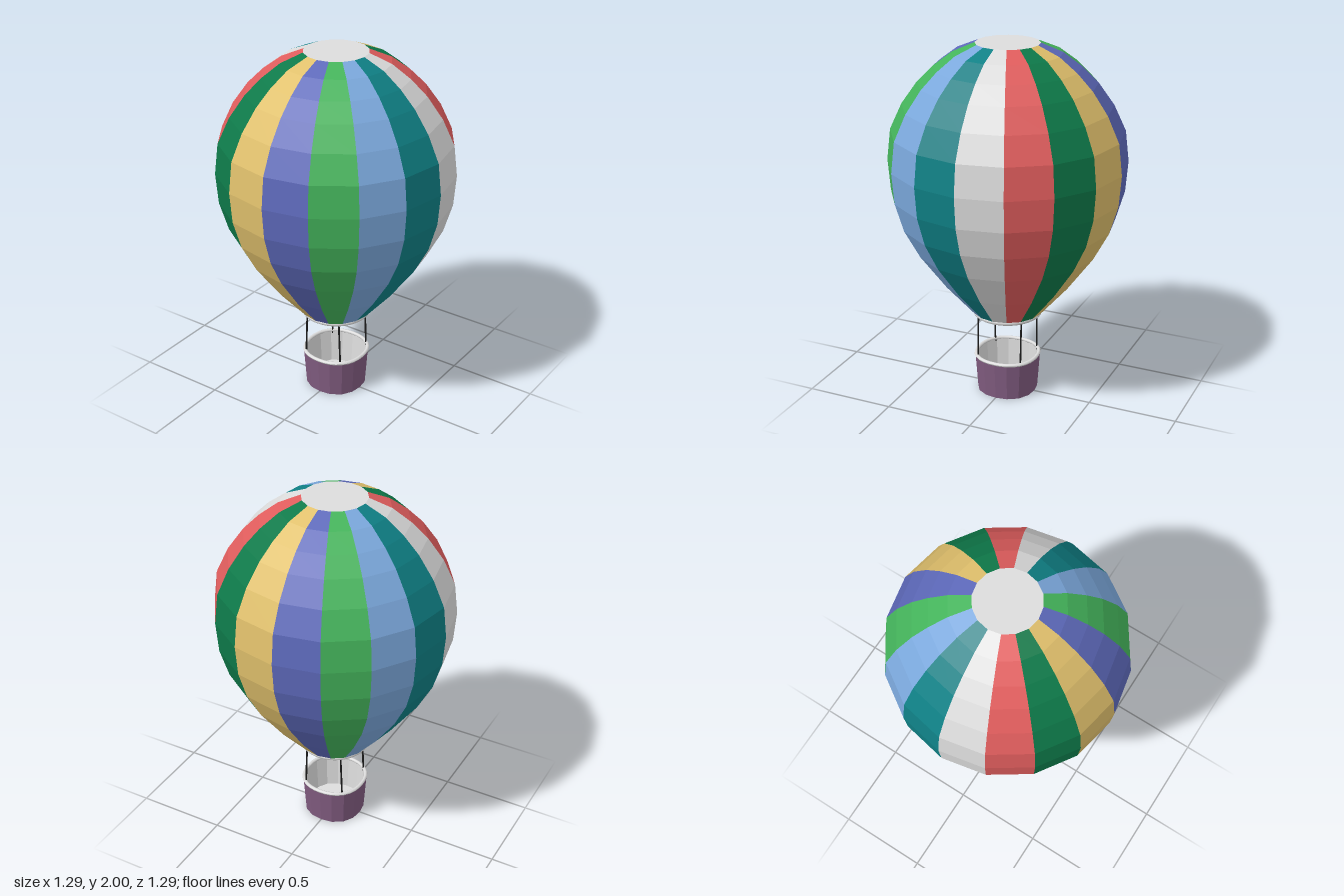
import * as THREE from 'three';

const GORES = 16;

function material(name, color) {
  const m = new THREE.MeshStandardMaterial({ color, side: THREE.DoubleSide });
  m.name = name;
  return m;
}

// One normal per face, for the faceted parts
function faceted(geometry) {
  const g = geometry.index ? geometry.toNonIndexed() : geometry;
  g.computeVertexNormals();
  return g;
}

// Push a round shape slightly towards a rounded square, seen from above
function squareOff(geometry, n = 2.25) {
  const p = geometry.attributes.position;
  for (let i = 0; i < p.count; i++) {
    const x = p.getX(i), z = p.getZ(i), r = Math.hypot(x, z);
    if (r < 1e-6) continue;
    const k = Math.pow(Math.abs(x / r) ** n + Math.abs(z / r) ** n, -1 / n);
    p.setX(i, x * k);
    p.setZ(i, z * k);
  }
  geometry.computeVertexNormals();
  return geometry;
}

export function createModel() {
  const model = new THREE.Group();
  model.name = 'hotAirBalloon';

  const white = material('white', 0xdcdcdc);
  const purple = material('purple', 0x805b7f);
  const black = material('black', 0x1c1c1c);
  const goreMaterials = [
    material('violet', 0x5d69ba),
    material('brightGreen', 0x44b45b),
    material('lightBlue', 0x7ba8dc),
    material('teal', 0x0f8085),
    white,
    material('red', 0xe05d5d),
    material('darkGreen', 0x0e7a4a),
    material('gold', 0xe0c06c),
  ];

  function add(parent, name, geometry, mat) {
    const mesh = new THREE.Mesh(geometry, mat);
    mesh.name = name;
    parent.add(mesh);
    return mesh;
  }

  // Envelope: one lathed slice per gore, colours repeating twice around
  const envelope = new THREE.Group();
  envelope.name = 'envelope';
  model.add(envelope);
  const profile = [
    [0.2, 0.49], [0.355, 0.67], [0.5, 0.87], [0.585, 1.03], [0.632, 1.19], [0.645, 1.36],
    [0.625, 1.53], [0.56, 1.67], [0.475, 1.79], [0.39, 1.875], [0.29, 1.95], [0.172, 2.0],
  ].map(([r, y]) => new THREE.Vector2(r, y));
  const step = (Math.PI * 2) / GORES;
  for (let i = 0; i < GORES; i++) {
    const gore = faceted(new THREE.LatheGeometry(profile, 1, i * step, step));
    add(envelope, 'gore' + (i + 1), gore, goreMaterials[i % goreMaterials.length]);
  }

  // Flat crown cap
  const cap = new THREE.CircleGeometry(0.172, GORES).rotateX(-Math.PI / 2);
  add(envelope, 'crownCap', cap, white).position.y = 2;

  // Ring round the mouth
  const ring = new THREE.TorusGeometry(0.178, 0.016, 10, 40).rotateX(Math.PI / 2);
  add(model, 'mouthRing', ring, white).position.y = 0.48;

  // Four ropes from ring to basket
  for (const sx of [-1, 1]) {
    for (const sz of [-1, 1]) {
      const path = new THREE.LineCurve3(
        new THREE.Vector3(sx * 0.118, 0.2, sz * 0.13),
        new THREE.Vector3(sx * 0.107, 0.48, sz * 0.13),
      );
      add(model, 'rope', new THREE.TubeGeometry(path, 1, 0.005, 6), black);
    }
  }

  // Basket: outer wall, base, pale lining, floor and rim
  const basket = new THREE.Group();
  basket.name = 'basket';
  model.add(basket);
  const wall = squareOff(new THREE.CylinderGeometry(0.18, 0.165, 0.215, 16, 1, true));
  add(basket, 'basketWall', faceted(wall), purple).position.y = 0.1075;
  const base = squareOff(new THREE.CircleGeometry(0.165, 16).rotateX(Math.PI / 2));
  add(basket, 'basketBase', base, purple);
  const lining = squareOff(new THREE.CylinderGeometry(0.168, 0.155, 0.195, 16, 1, true));
  add(basket, 'basketLining', faceted(lining), white).position.y = 0.1175;
  const floor = squareOff(new THREE.CircleGeometry(0.156, 16).rotateX(-Math.PI / 2));
  add(basket, 'basketFloor', floor, white).position.y = 0.02;
  const rim = squareOff(new THREE.TorusGeometry(0.173, 0.01, 8, 32).rotateX(Math.PI / 2));
  add(basket, 'basketRim', rim, white).position.y = 0.216;

  return model;
}
